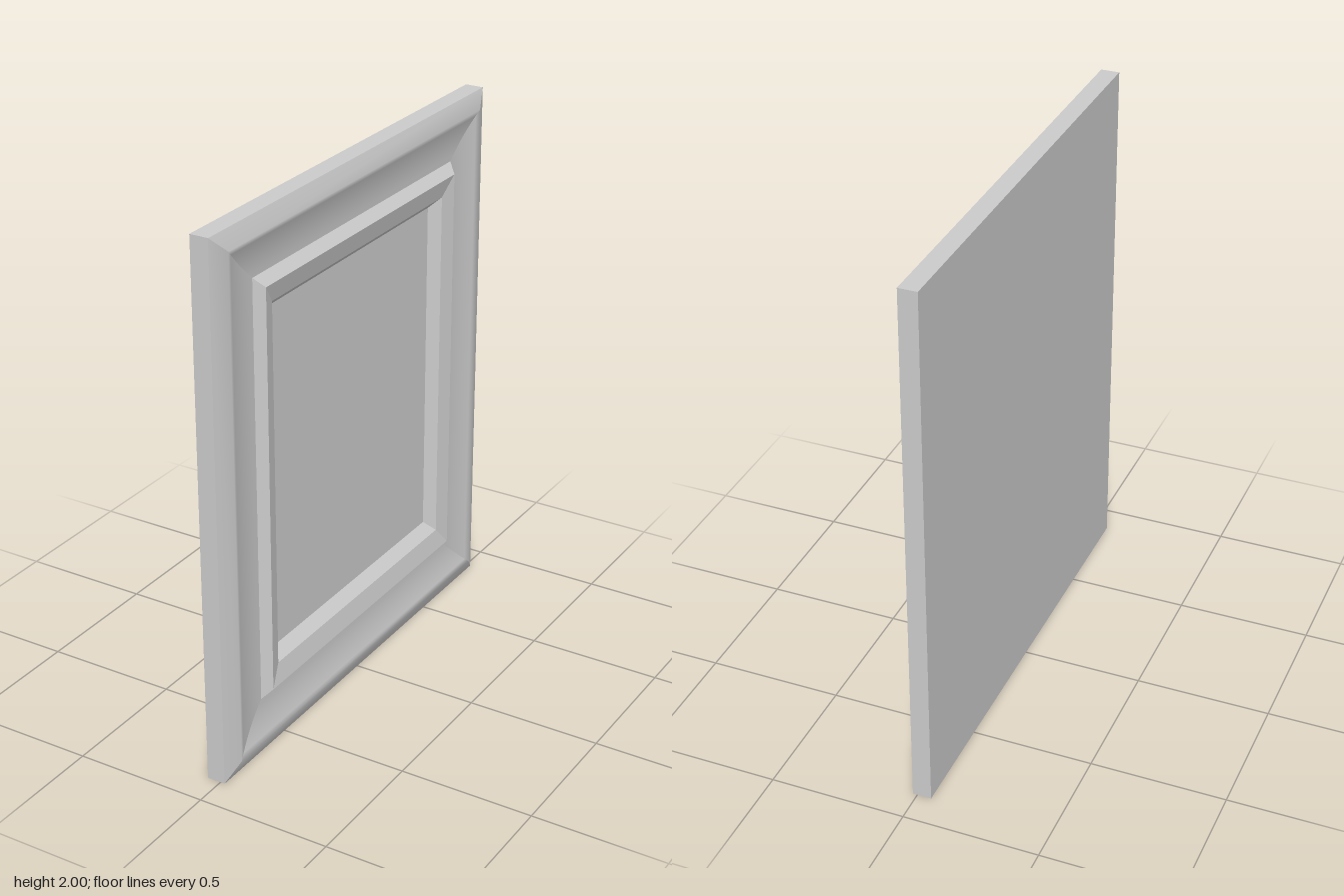
import * as THREE from 'three';
import { mergeGeometries } from 'three/addons/utils/BufferGeometryUtils.js';

const material = new THREE.MeshStandardMaterial({ color: 0xcccccc });

// Corners of a ring, counter-clockwise seen from +x
const CORNERS = [[1, -1], [-1, -1], [-1, 1], [1, 1]];

// Sweeps rings [halfDepth, halfHeight, x] into four mitred sides;
// each side is smooth along its profile and sharp at the mitres.
function frame(name, rings) {
  const sides = CORNERS.map((start, k) => {
    const end = CORNERS[(k + 1) % 4];
    const positions = [], index = [];
    rings.forEach(([hz, hy, x], i) => {
      for (const [sz, sy] of [start, end]) positions.push(x, 1 + sy * hy, sz * hz);
      if (i) {
        const a = 2 * i - 2;
        index.push(a, a + 1, a + 3, a, a + 3, a + 2);
      }
    });
    const side = new THREE.BufferGeometry();
    side.setAttribute('position', new THREE.Float32BufferAttribute(positions, 3));
    side.setIndex(index);
    side.computeVertexNormals();
    return side;
  });
  const mesh = new THREE.Mesh(mergeGeometries(sides), material);
  mesh.name = name;
  return mesh;
}

// Flat rectangle facing +x (facing = 1) or -x (facing = -1)
function sheet(name, hz, hy, x, facing) {
  const mesh = new THREE.Mesh(new THREE.PlaneGeometry(2 * hz, 2 * hy), material);
  mesh.rotation.y = facing * Math.PI / 2;
  mesh.position.set(x, 1, 0);
  mesh.name = name;
  return mesh;
}

export function createModel() {
  const group = new THREE.Group();
  group.name = 'raisedPanelDoor';

  const back = -0.052, floor = -0.007;
  const outerEdge = [0.88, 1, 0.017];
  const coveFoot = [0.645, 0.787, 0.017];
  const ridge = [0.617, 0.752, 0.05];
  const innerLip = [0.558, 0.68, 0.033];
  const panelEdge = [0.527, 0.642, floor];

  // Outer bevel rising to a crest, then a cove flattening towards the moulding
  const crest = [0.812, 0.938, 0.044];
  const cove = [];
  const steps = 8;
  for (let i = 0; i <= steps; i++) {
    const t = i / steps;
    cove.push([
      THREE.MathUtils.lerp(crest[0], coveFoot[0], t),
      THREE.MathUtils.lerp(crest[1], coveFoot[1], t),
      coveFoot[2] + (crest[2] - coveFoot[2]) * (1 - t) ** 2,
    ]);
  }

  group.add(
    sheet('backFace', 0.88, 1, back, -1),
    frame('boardEdges', [[0.88, 1, back], outerEdge]),
    frame('outerFrame', [outerEdge, ...cove]),
    // Raised inner moulding, each facet kept sharp
    frame('mouldingOuterSlope', [coveFoot, ridge]),
    frame('mouldingTop', [ridge, innerLip]),
    frame('mouldingInnerSlope', [innerLip, panelEdge]),
    sheet('centrePanel', panelEdge[0], panelEdge[1], floor, 1),
  );
  return group;
}
